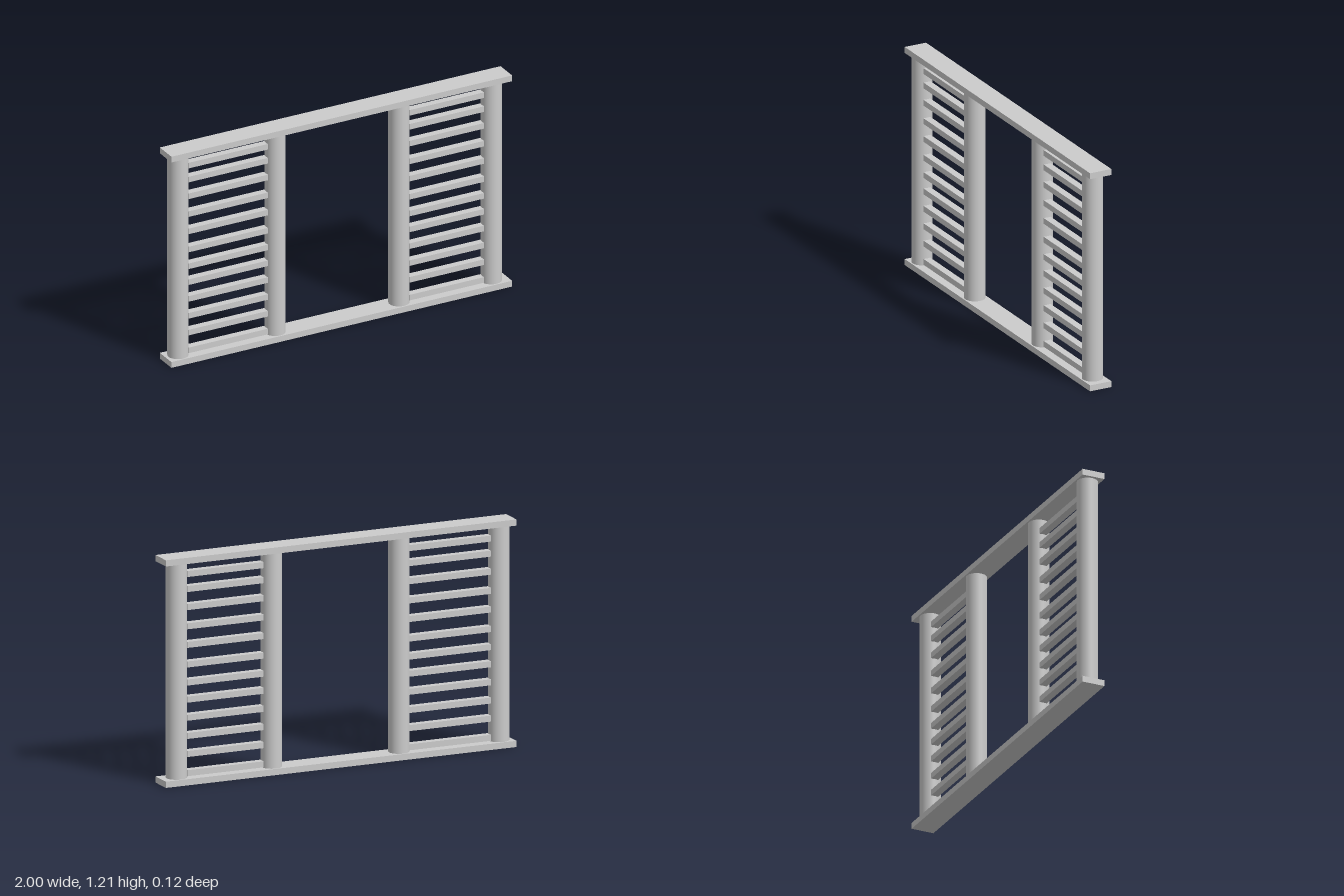
import * as THREE from 'three';

export function createModel() {
  const model = new THREE.Group();
  const material = new THREE.MeshStandardMaterial({ color: 0xcccccc });
  const height = 1.21, railHeight = 0.033, railDepth = 0.125;
  const postRadius = 0.055;

  const add = (name, geometry, x, y) => {
    const mesh = new THREE.Mesh(geometry, material);
    mesh.name = name;
    mesh.position.set(x, y, 0);
    model.add(mesh);
  };

  // Flat boards closing the frame at the bottom and top
  const rail = new THREE.BoxGeometry(2, railHeight, railDepth);
  add('bottomRail', rail, 0, railHeight / 2);
  add('topRail', rail, 0, height - railHeight / 2);

  // Two pairs of round posts, each pair holding a ladder of slats
  const post = new THREE.CylinderGeometry(postRadius, postRadius, height - 2 * railHeight, 40);
  const slatHeights = [0.053, 0.155, 0.251, 0.348, 0.444, 0.535, 0.631, 0.735, 0.834, 0.936, 1.032, 1.112];
  const panels = [
    { side: 'right', from: -0.928, to: -0.358 },
    { side: 'left', from: 0.369, to: 0.911 },
  ];
  for (const { side, from, to } of panels) {
    for (const x of [from, to]) add(side + 'Post', post, x, height / 2);
    const slat = new THREE.BoxGeometry(to - from - 2 * postRadius + 0.004, 0.032, 0.04);
    for (const y of slatHeights) add(side + 'Slat', slat, (from + to) / 2, y);
  }
  return model;
}
